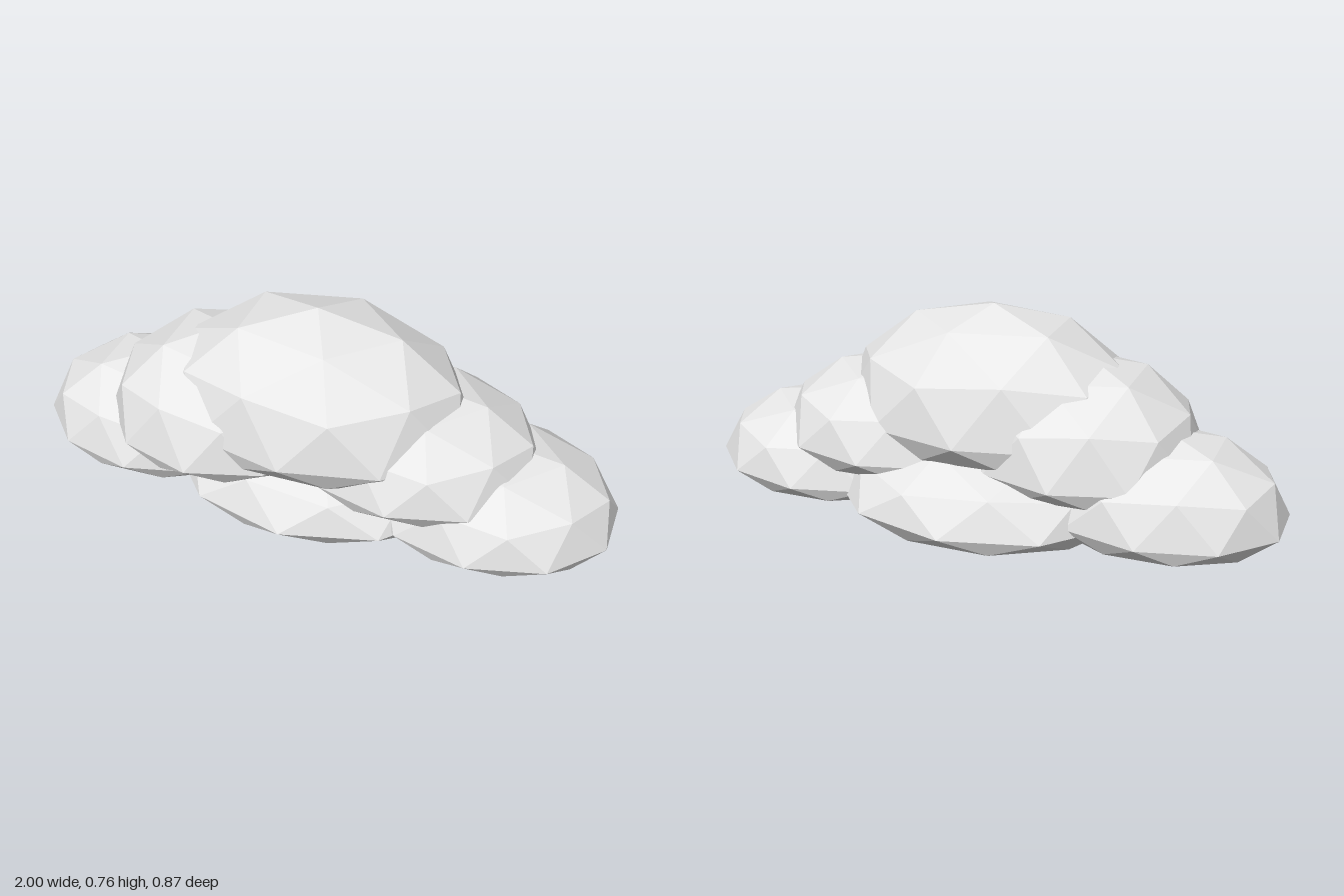
import * as THREE from 'three';

// Faceted ball with a vertex at the top, a level ring of points round its waist,
// and an underside flatter than its crown.
function puffGeometry([rx, up, down, rz]) {
  const geo = new THREE.IcosahedronGeometry(1, 1);
  geo.rotateZ(-Math.atan(2 / (1 + Math.sqrt(5))));
  const pos = geo.attributes.position;
  for (let i = 0; i < pos.count; i++) {
    const y = pos.getY(i);
    pos.setXYZ(i, pos.getX(i) * rx, y * (y > 0 ? up : down), pos.getZ(i) * rz);
  }
  geo.computeVertexNormals();
  return geo;
}

export function createModel() {
  const cloud = new THREE.Group();
  cloud.name = 'cloud';
  const cloudWhite = new THREE.MeshStandardMaterial({ color: 0xe7e7e7, flatShading: true });
  cloudWhite.name = 'cloudWhite';

  // name, centre of the waist, [width radius, crown height, underside depth, depth radius]
  const puffs = [
    ['basePuff', [0, 0.125, 0], [0.53, 0.23, 0.125, 0.435]],
    ['topPuff', [0, 0.38, 0.06], [0.53, 0.377, 0.16, 0.37]],
    ['leftMiddlePuff', [0.34, 0.27, 0.045], [0.42, 0.275, 0.12, 0.35]],
    ['rightMiddlePuff', [-0.32, 0.287, 0.057], [0.41, 0.335, 0.125, 0.378]],
    ['leftEndPuff', [0.6, 0.137, 0.05], [0.42, 0.25, 0.107, 0.34]],
    ['rightEndPuff', [-0.6, 0.15, 0.005], [0.42, 0.275, 0.117, 0.33]],
  ];
  for (const [name, centre, radii] of puffs) {
    const mesh = new THREE.Mesh(puffGeometry(radii), cloudWhite);
    mesh.name = name;
    mesh.position.set(...centre);
    cloud.add(mesh);
  }
  return cloud;
}
